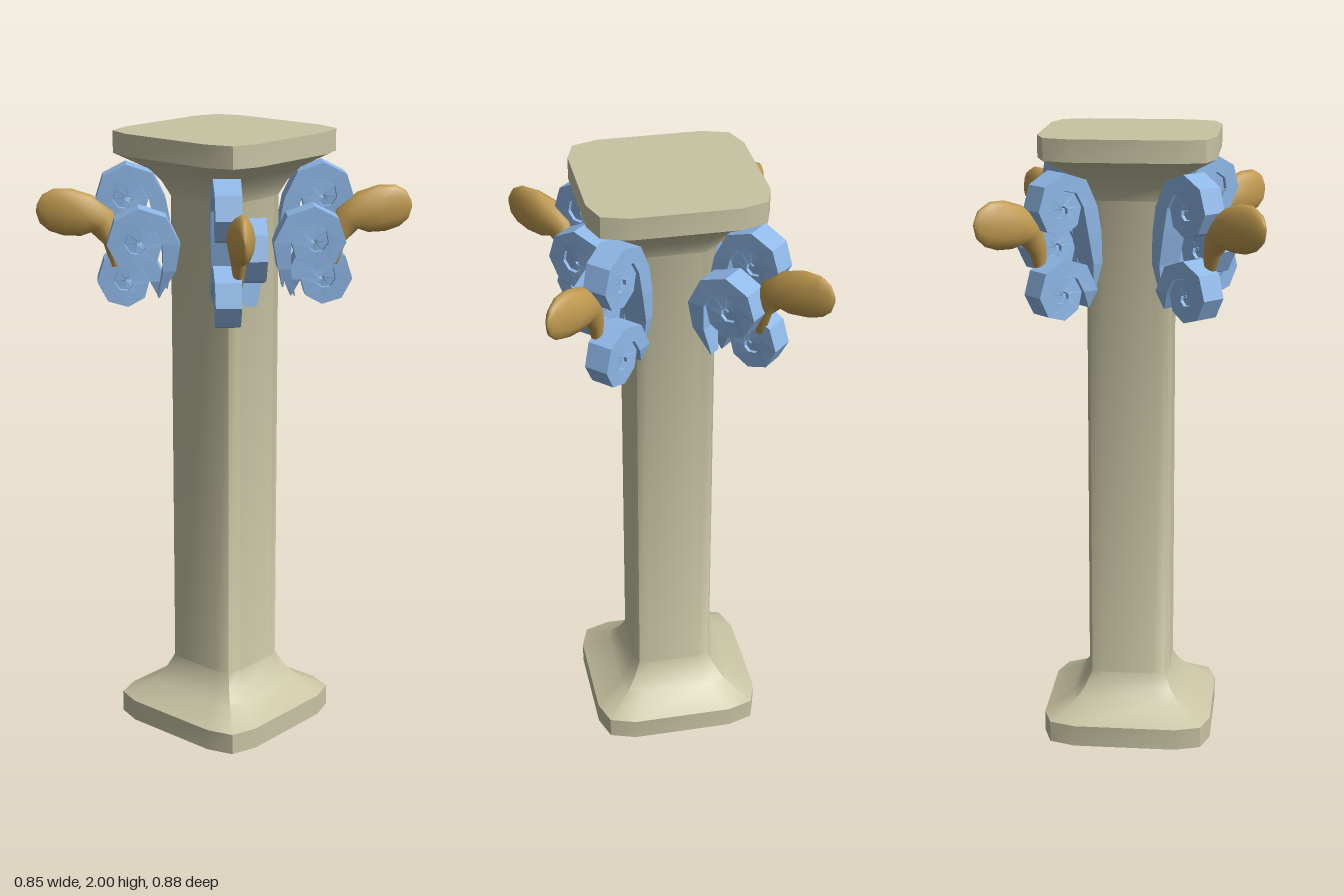
import * as THREE from 'three';
import { toCreasedNormals } from 'three/addons/utils/BufferGeometryUtils.js';

const stone = new THREE.MeshStandardMaterial({ color: 0xc8c4a4 });
const blue = new THREE.MeshStandardMaterial({ color: 0x8fb8e8, flatShading: true });
const gold = new THREE.MeshStandardMaterial({ color: 0xc09a50 });

// Closed skin through equal-sized rings of [x, y, z]; side -1 mirrors it in z
function loft(rings, side = 1) {
  const n = rings[0].length;
  const pos = [];
  const index = [];
  const tri = (a, b, c) => (side > 0 ? index.push(a, b, c) : index.push(a, c, b));
  for (const ring of rings) for (const [x, y, z] of ring) pos.push(x, y, z * side);
  for (let k = 0; k < rings.length - 1; k++) {
    for (let j = 0; j < n; j++) {
      const a = k * n + j;
      const b = k * n + ((j + 1) % n);
      tri(a, b, b + n);
      tri(a, b + n, a + n);
    }
  }
  const last = (rings.length - 1) * n;
  for (let j = 1; j < n - 1; j++) {
    tri(0, j + 1, j);
    tri(last, last + j, last + j + 1);
  }
  const geo = new THREE.BufferGeometry();
  geo.setAttribute('position', new THREE.Float32BufferAttribute(pos, 3));
  geo.setIndex(index);
  geo.computeVertexNormals();
  return geo;
}

function mesh(name, geo, material) {
  const m = new THREE.Mesh(geo, material);
  m.name = name;
  return m;
}

// Base, shaft and capital: one twelve-sided soft square swept up a profile
function column() {
  const outline = [];
  for (let q = 0; q < 4; q++) {
    const c = Math.round(Math.cos(q * Math.PI / 2));
    const s = Math.round(Math.sin(q * Math.PI / 2));
    for (const [x, y] of [[1, 0.6], [0.9, 0.9], [0.6, 1]]) {
      outline.push([x * c - y * s, x * s + y * c]);
    }
  }
  const foot = [[0, 0.277], [0.07, 0.277], [0.122, 0.188], [0.16, 0.158], [0.207, 0.135]];
  const head = foot.map(([y, r]) => [2 - y, r]).reverse();
  const rings = [...foot, ...head].map(([y, r]) => outline.map(([x, z]) => [x * r, y, -z * r]));
  return toCreasedNormals(loft(rings), 0.55);
}

// Flat band that rises from a pointed tail and winds into a spiral
function scroll({ r, y, size, offset, tail }, side) {
  const rings = [];
  const section = (ox, oy, ix, iy, h) => rings.push([
    [ox, oy, offset + h], [ix, iy, offset + h], [ix, iy, offset - h], [ox, oy, offset - h],
  ]);
  for (const [tx, ty, w, h] of tail) section(tx, ty, tx + w, ty, h);
  for (let k = 0; k <= 16; k++) {
    const a = Math.PI - k * Math.PI / 4;
    const outer = size * (1 - k / 18);
    const inner = Math.max(outer - size * 0.43, outer * 0.15);
    const c = Math.cos(a);
    const s = Math.sin(a);
    section(r + outer * c, y + outer * s, r + inner * c, y + inner * s, 0.045 - k * 0.0013);
  }
  return loft(rings, side);
}

// Paddle-shaped leaf: a thin stem bending outwards into a broad flat blade
function leaf(side) {
  const stations = [ // radius, height, half thickness, half breadth
    [0.35, 1.57, 0.012, 0.015], [0.36, 1.65, 0.025, 0.028], [0.39, 1.715, 0.038, 0.05],
    [0.44, 1.735, 0.044, 0.068], [0.5, 1.747, 0.037, 0.076], [0.55, 1.755, 0.026, 0.068],
    [0.583, 1.758, 0.015, 0.045], [0.597, 1.76, 0.004, 0.012],
  ];
  const rings = stations.map(([x, y, w, h], i) => {
    const p = stations[Math.max(i - 1, 0)];
    const q = stations[Math.min(i + 1, stations.length - 1)];
    const d = new THREE.Vector2(q[0] - p[0], q[1] - p[1]).normalize();
    return Array.from({ length: 12 }, (_, j) => {
      const a = j * Math.PI / 6;
      const up = Math.cos(a) * h;
      return [x - d.y * up, y + d.x * up, -0.018 + Math.sin(a) * w];
    });
  });
  return loft(rings, side);
}

const scrolls = {
  upperScroll: {
    r: 0.313, y: 1.785, size: 0.125, offset: 0.015,
    tail: [[0.185, 1.49, 0.004, 0.02], [0.165, 1.6, 0.035, 0.04], [0.172, 1.7, 0.052, 0.045]],
  },
  middleScroll: {
    r: 0.277, y: 1.655, size: 0.13, offset: -0.065,
    tail: [[0.215, 1.48, 0.004, 0.02], [0.162, 1.57, 0.04, 0.04]],
  },
  lowerScroll: {
    r: 0.313, y: 1.52, size: 0.125, offset: 0.015,
    tail: [[0.21, 1.465, 0.004, 0.03]],
  },
};

export function createModel() {
  const model = new THREE.Group();
  model.name = 'column';
  model.add(mesh('shaft', column(), stone));

  // Corner ornaments, the back pair mirrored from the front pair
  for (const side of [1, -1]) {
    for (const turn of [1, 3]) {
      const corner = new THREE.Group();
      corner.name = 'cornerOrnament';
      for (const [name, spec] of Object.entries(scrolls)) {
        corner.add(mesh(name, scroll(spec, side), blue));
      }
      corner.add(mesh('leaf', leaf(side), gold));
      corner.rotation.y = -side * turn * Math.PI / 4;
      model.add(corner);
    }
  }
  model.children.forEach((part) => { part.position.x = -0.015; });
  return model;
}
